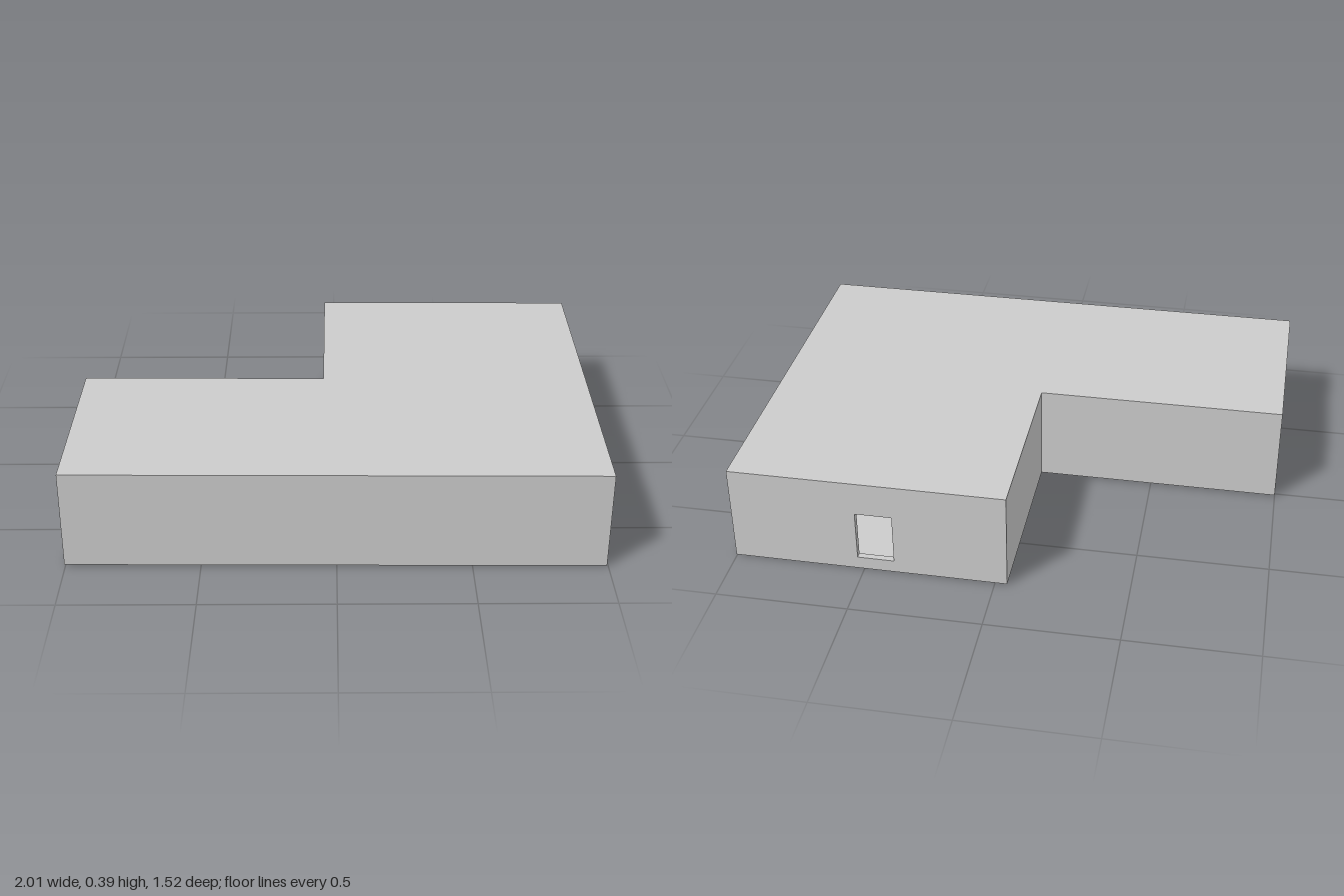
import * as THREE from 'three';

const H = 0.382; // overall height
const T = 0.025; // wall and slab thickness
const material = new THREE.MeshStandardMaterial({ color: 0xcccccc, flatShading: true });

// L-shaped footprint as [x, z], ordered so the interior lies on the local +z side of each wall
const outline = [[-0.05, -0.761], [1, -0.761], [1, 0.756], [-1, 0.756], [-1, -0.013], [-0.05, -0.013]];

// Upright panel from a to b with an optional opening { from, to, bottom, top }
function wall(name, a, b, opening) {
  const dx = b[0] - a[0], dz = b[1] - a[1], length = Math.hypot(dx, dz);
  const shape = new THREE.Shape();
  shape.moveTo(0, T).lineTo(length, T).lineTo(length, H - T).lineTo(0, H - T).closePath();
  if (opening) {
    const { from, to, bottom, top } = opening;
    const hole = new THREE.Path();
    hole.moveTo(from, bottom).lineTo(from, top).lineTo(to, top).lineTo(to, bottom).closePath();
    shape.holes.push(hole);
  }
  const mesh = new THREE.Mesh(new THREE.ExtrudeGeometry(shape, { depth: T, bevelEnabled: false }), material);
  mesh.name = name;
  mesh.position.set(a[0], 0, a[1]);
  mesh.rotation.y = -Math.atan2(dz, dx);
  return mesh;
}

// Horizontal plate covering the whole footprint
function slab(name, y) {
  const shape = new THREE.Shape(outline.map(([x, z]) => new THREE.Vector2(x, -z)));
  const geometry = new THREE.ExtrudeGeometry(shape, { depth: T, bevelEnabled: false });
  geometry.rotateX(-Math.PI / 2);
  const mesh = new THREE.Mesh(geometry, material);
  mesh.name = name;
  mesh.position.y = y;
  return mesh;
}

export function createModel() {
  const model = new THREE.Group();
  model.name = 'building';
  const shell = new THREE.Group();
  shell.name = 'shell';
  model.add(shell);

  shell.add(slab('floor', 0), slab('roof', H - T));

  // Outer walls, two of them with a window
  const names = ['backWall', 'longSideWall', 'frontWall', 'wingEndWall', 'wingBackWall', 'innerSideWall'];
  const windows = {
    backWall: { from: 0.43, to: 0.57, bottom: 0.05, top: 0.248 },
    wingEndWall: { from: 0.245, to: 0.395, bottom: 0.05, top: 0.248 },
  };
  names.forEach((name, i) => {
    shell.add(wall(name, outline[i], outline[(i + 1) % outline.length], windows[name]));
  });

  // Partitions between the three rooms, each with a doorway
  const door = { from: 0.3, to: 0.44, bottom: T + 0.005, top: 0.27 };
  shell.add(wall('wingPartition', [-0.5, 0.73], [-0.5, 0.012], door));
  shell.add(wall('backRoomPartition', [-0.025, -0.013], [0.975, -0.013], door));

  // Slight skew of the whole shell
  shell.rotation.set(0, -0.005, -0.003);
  shell.position.y = 0.003;
  return model;
}
